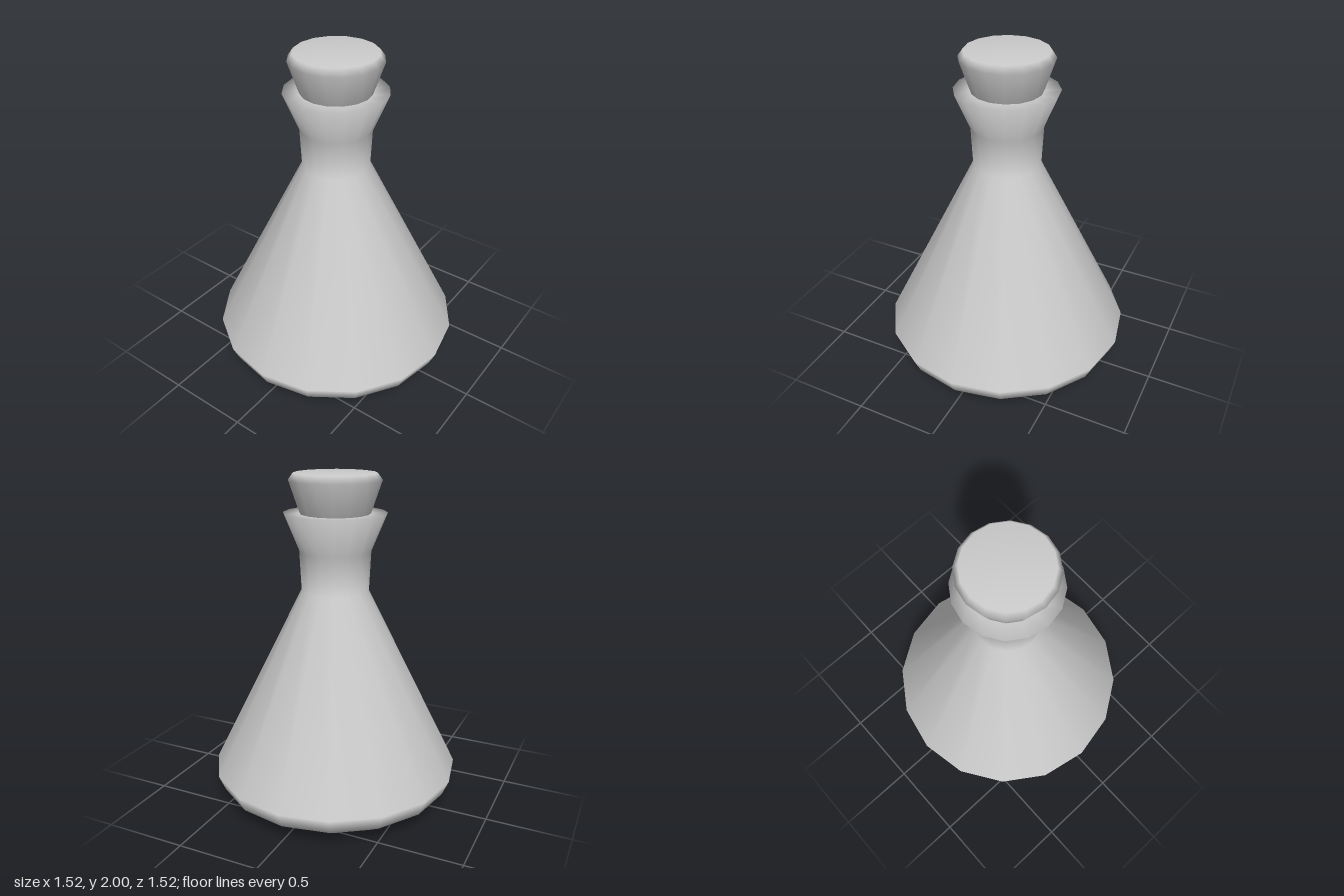
import * as THREE from 'three';

const SIDES = 16;

// Smooth-shaded surface of revolution from [radius, height] pairs, bottom to top
function turned(name, profile, material) {
  const points = profile.map(([r, y]) => new THREE.Vector2(r, y));
  const mesh = new THREE.Mesh(new THREE.LatheGeometry(points, SIDES), material);
  mesh.name = name;
  return mesh;
}

export function createModel() {
  const model = new THREE.Group();
  model.name = 'stopperedFlask';
  const grey = new THREE.MeshStandardMaterial({ color: 0xcccccc });

  // Conical body, narrow neck and flared lip, closed around the stopper
  model.add(turned('flask', [
    [0, 0], [0.58, 0.005], [0.72, 0.1], [0.76, 0.195],
    [0.202, 1.315], [0.213, 1.55], [0.305, 1.775], [0.2, 1.77], [0, 1.77],
  ], grey));

  // Tapered stopper with a bevelled top edge
  model.add(turned('stopper', [
    [0, 1.6], [0.15, 1.6], [0.272, 1.96], [0.243, 2], [0, 2],
  ], grey));

  return model;
}
